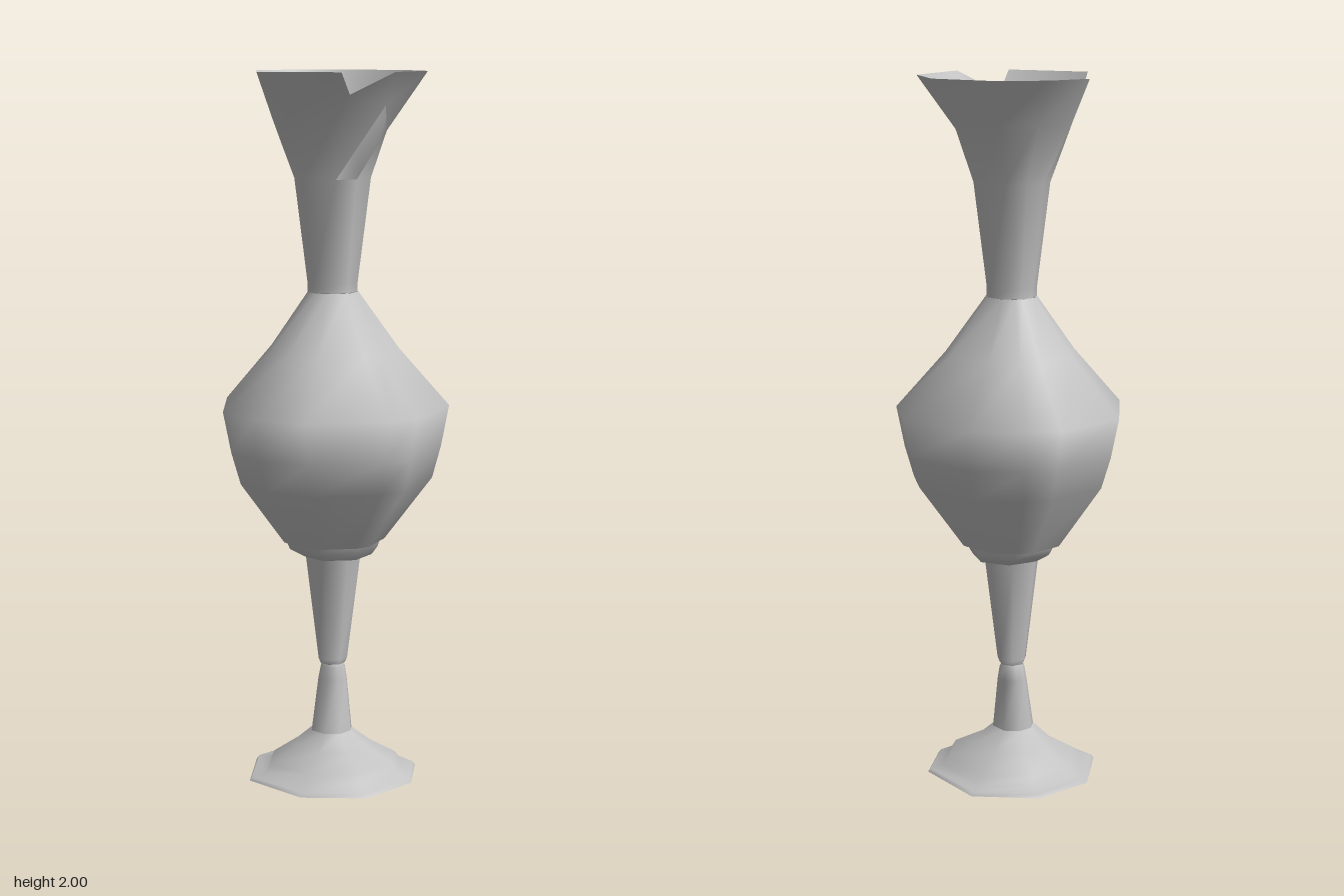
import * as THREE from 'three';

const stone = new THREE.MeshStandardMaterial({ color: 0xc2c2c2, side: THREE.DoubleSide });
stone.name = 'grey';

// Skin between rings of [x, y, z]; skip lists faces left open as 'ring,segment,half'
function loft(name, rings, { skip = [], capBottom = false } = {}) {
  const n = rings[0].length, idx = [];
  for (let j = 0; j < rings.length - 1; j++) {
    for (let i = 0; i < n; i++) {
      const k = (i + 1) % n;
      const a = j * n + i, b = a + n, c = j * n + k, d = c + n;
      if (!skip.includes(`${j},${i},0`)) idx.push(a, b, c);
      if (!skip.includes(`${j},${i},1`)) idx.push(c, b, d);
    }
  }
  const pos = rings.flat(2);
  if (capBottom) {
    // separate rim vertices keep the foot edge sharp
    const s = pos.length / 3;
    pos.push(...rings[0].flat());
    for (let i = 1; i < n - 1; i++) idx.push(s, s + i, s + i + 1);
  }
  const g = new THREE.BufferGeometry();
  g.setAttribute('position', new THREE.Float32BufferAttribute(pos, 3));
  g.setIndex(idx);
  g.computeVertexNormals();
  const m = new THREE.Mesh(g, stone);
  m.name = name;
  return m;
}

// Regular ring with an optional centre shift
const circle = (n, y, r, cx = 0, cz = 0, turn = 0.3) => Array.from({ length: n }, (_, i) => {
  const a = turn + (i / n) * Math.PI * 2;
  return [cx + Math.cos(a) * r, y, cz + Math.sin(a) * r];
});

// Scaled copy of a flat outline at a height
const scaled = (outline, y, s, cx = 0, cz = 0) => outline.map(([x, z]) => [x * s + cx, y, z * s + cz]);

export function createModel() {
  const vase = new THREE.Group();
  vase.name = 'vase';

  // Foot: uneven brim with a wavy step, rising to the lower stem
  const brim = [[0.245, 0], [0.2, 0.15], [0.05, 0.255], [-0.13, 0.215], [-0.25, 0.05],
    [-0.2, -0.14], [-0.05, -0.24], [0.14, -0.2]];
  const wave = [0.005, 0.012, 0.018, 0.01, 0, -0.005, 0.005, 0];
  const step = (y, s) => scaled(brim, y, s).map(([x, h, z], i) => [x, h + wave[i], z]);
  vase.add(loft('foot', [
    scaled(brim, 0, 1), scaled(brim, 0.01, 0.97), step(0.015, 0.82), step(0.038, 0.76),
    scaled(brim, 0.085, 0.45), scaled(brim, 0.13, 0.24, -0.005, 0.01),
  ], { capBottom: true }));
  vase.add(loft('lowerStem', [
    scaled(brim, 0.13, 0.24, -0.005, 0.01), scaled(brim, 0.28, 0.17, 0, -0.003),
    scaled(brim, 0.315, 0.145), scaled(brim, 0.33, 0.11),
  ]));

  // Tapered upper stem and the collar under the belly
  vase.add(loft('upperStem', [
    circle(7, 0.325, 0.036), circle(7, 0.34, 0.042), circle(7, 0.645, 0.08),
  ]));
  vase.add(loft('collar', [
    circle(7, 0.64, 0.078), circle(7, 0.645, 0.1, 0.012), circle(7, 0.668, 0.128), circle(7, 0.695, 0.138),
  ]));

  // Belly: one irregular outline scaled up and down
  const belly = [[0, -0.32], [0.155, -0.285], [0.315, -0.09], [0.32, 0.07], [0.18, 0.28],
    [0.095, 0.32], [-0.13, 0.31], [-0.255, 0.215], [-0.32, 0.07], [-0.275, -0.175], [-0.095, -0.31]];
  vase.add(loft('belly', [
    scaled(belly, 0.69, 0.45), scaled(belly, 0.87, 0.85, 0, 0.013), scaled(belly, 0.96, 0.93, 0, 0.005),
    scaled(belly, 1.075, 1), scaled(belly, 1.235, 0.57), scaled(belly, 1.395, 0.22),
  ]));

  // Neck flaring to a broken rim, with a few missing shards
  const rim = [[-0.07, 2, -0.245], [0.075, 2, -0.245], [0.23, 2, -0.12], [0.255, 2, 0.055],
    [0.125, 2, 0.235], [-0.025, 2, 0.265], [-0.23, 2, 0.13], [-0.165, 1.87, -0.01], [-0.185, 2, -0.18]];
  const flare = [[-0.05, 1.88, -0.17], [0.05, 1.88, -0.17], [0.165, 1.87, -0.085], [0.14, 1.84, 0.06],
    [0.118, 1.91, 0.15], [0.01, 1.94, 0.2], [-0.15, 1.87, 0.09], [-0.14, 1.8, -0.005], [-0.14, 1.87, -0.125]];
  const around = (y, r) => rim.map(([x, , z]) => {
    const d = Math.hypot(x, z);
    return [(x / d) * r, y, (z / d) * r];
  });
  vase.add(loft('neck', [
    around(1.395, 0.07), around(1.42, 0.07), around(1.71, 0.106), flare, rim,
  ], { skip: ['2,4,0', '2,3,1', '3,4,1'] }));

  return vase;
}
